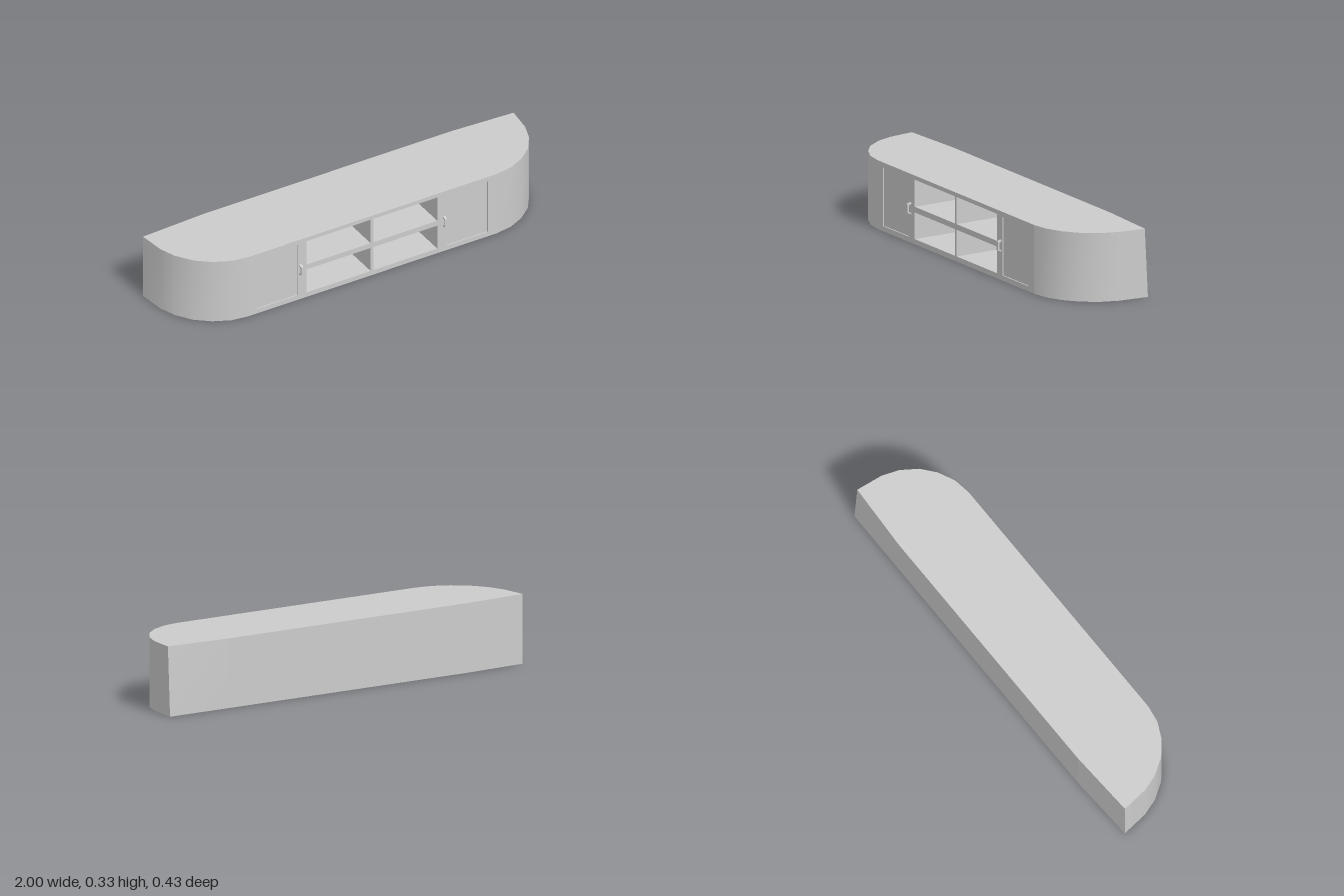
import * as THREE from 'three';

const H = 0.33, FRONT = 0.197, BACK = -0.217, FLAT = 0.67;
const material = new THREE.MeshStandardMaterial({ color: 0xcccccc });

// Rounded end of the footprint as [x, z], from the flat front to the back corner
const endCurve = [[FLAT, FRONT], [0.755, 0.184], [0.835, 0.146], [0.903, 0.09],
  [0.956, 0.012], [0.985, -0.07], [1, -0.2]];
const mirrored = endCurve.map(([x, z]) => [-x, z]).reverse();
// The left back corner leans: its foot sits further back than its top
const endFoot = endCurve.map(([x, z]) => [x, x === 1 ? BACK : z]);

function add(group, name, geometry) {
  const mesh = new THREE.Mesh(geometry, material);
  mesh.name = name;
  group.add(mesh);
  return mesh;
}

// Upright wall between a foot line and a top line of [x, z] points
function wall(foot, top) {
  const positions = [], index = [];
  foot.forEach(([x, z], i) => {
    positions.push(x, 0, z, top[i][0], H, top[i][1]);
    if (i > 0) {
      const a = 2 * (i - 1);
      index.push(a, a + 2, a + 3, a, a + 3, a + 1);
    }
  });
  const g = new THREE.BufferGeometry();
  g.setAttribute('position', new THREE.Float32BufferAttribute(positions, 3));
  g.setIndex(index);
  g.computeVertexNormals();
  return g;
}

// Horizontal cap over a footprint, facing up or down
function cap(outline, y, up) {
  const s = up ? -1 : 1;
  const shape = new THREE.Shape(outline.map(([x, z]) => new THREE.Vector2(x, s * z)));
  return new THREE.ShapeGeometry(shape).rotateX(s * Math.PI / 2).translate(0, y, 0);
}

// Inward-facing box without its front, opening at the front panel
function cavity({ x0, x1, y0, y1, depth }) {
  const g = new THREE.BoxGeometry(x1 - x0, y1 - y0, depth);
  const old = Array.from(g.index.array), index = [];
  for (let i = 0; i < old.length; i += 3) {
    if (i >= 24 && i < 30) continue;
    index.push(old[i], old[i + 2], old[i + 1]);
  }
  g.setIndex(index);
  g.clearGroups();
  g.computeVertexNormals();
  return g.translate((x0 + x1) / 2, (y0 + y1) / 2, FRONT - depth / 2);
}

function rectangle({ x0, x1, y0, y1 }, Type) {
  return new Type([[x0, y0], [x1, y0], [x1, y1], [x0, y1]].map(p => new THREE.Vector2(...p)));
}

// Bracket handle: side profile extruded across its width
function handleGeometry() {
  const z0 = FRONT - 0.001, width = 0.012;
  const profile = [[z0, 0.137], [0.217, 0.145], [0.217, 0.187], [z0, 0.194],
    [z0, 0.187], [0.209, 0.181], [0.209, 0.151], [z0, 0.144]];
  const shape = new THREE.Shape(profile.map(([z, y]) => new THREE.Vector2(-z, y)));
  return new THREE.ExtrudeGeometry(shape, { depth: width, bevelEnabled: false })
    .translate(0, 0, -width / 2).rotateY(Math.PI / 2);
}

export function createModel() {
  const model = new THREE.Group();
  model.name = 'sideboard';

  // Cabinet shell
  const backTop = [[1, -0.2], [FLAT, BACK], [-FLAT, BACK], [-1, -0.2]];
  const backFoot = [[1, BACK], ...backTop.slice(1)];
  const inner = backTop.slice(1, 3);
  add(model, 'rightEnd', wall(mirrored, mirrored));
  add(model, 'leftEnd', wall(endFoot, endCurve));
  for (let i = 0; i < 3; i++) {
    add(model, 'backPanel', wall(backFoot.slice(i, i + 2), backTop.slice(i, i + 2)));
  }
  add(model, 'top', cap([...mirrored, ...endCurve, ...inner], H, true));
  add(model, 'base', cap([...mirrored, ...endFoot, ...inner], 0, false));

  // Four open compartments and two shallow door panels
  const openings = [];
  for (const [x0, x1] of [[-0.355, -0.01], [0.005, 0.35]]) {
    for (const [y0, y1] of [[0.025, 0.153], [0.18, 0.31]]) {
      openings.push({ name: 'compartment', x0, x1, y0, y1, depth: 0.39 });
    }
  }
  for (const [x0, x1] of [[-0.627, -0.405], [0.4, 0.622]]) {
    openings.push({ name: 'doorPanel', x0, x1, y0: 0.025, y1: 0.305, depth: 0.006 });
  }
  const face = rectangle({ x0: -FLAT, x1: FLAT, y0: 0, y1: H }, THREE.Shape);
  face.holes = openings.map(o => rectangle(o, THREE.Path));
  add(model, 'frontPanel', new THREE.ShapeGeometry(face).translate(0, 0, FRONT));
  openings.forEach(o => add(model, o.name, cavity(o)));

  // Door handles
  for (const x of [-0.39, 0.386]) {
    add(model, 'doorHandle', handleGeometry()).position.x = x;
  }
  return model;
}
